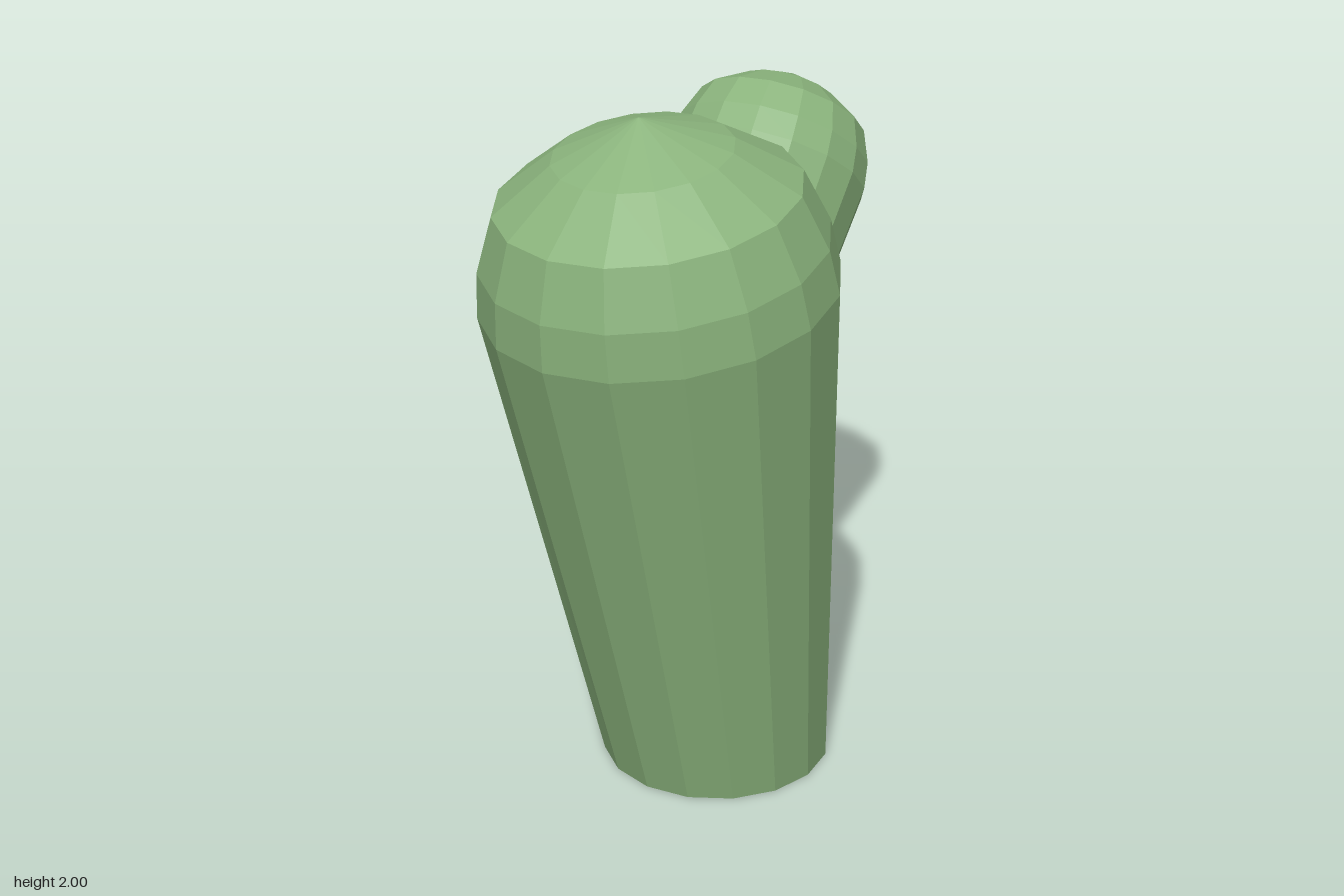
import * as THREE from 'three';

const SIDES = 16;
const LENGTH = 1.523; // base to shoulder

// Tapered limb with a domed end, growing along +y from the origin
function limbGeometry() {
  const profile = [
    [0, 0], [0.333, 0], [0.49, LENGTH], [0.473, LENGTH + 0.13],
    [0.413, LENGTH + 0.285], [0.243, LENGTH + 0.405], [0, LENGTH + 0.502],
  ].map(([r, y]) => new THREE.Vector2(r, y));
  return new THREE.LatheGeometry(profile, SIDES);
}

export function createModel() {
  const model = new THREE.Group();
  model.name = 'cactus';
  const green = new THREE.MeshStandardMaterial({ color: 0x8ab37c, flatShading: true });

  // Leaning trunk, its base cut level with the ground
  const trunkGeometry = limbGeometry();
  trunkGeometry.rotateZ(Math.atan2(0.245, 1.505));
  trunkGeometry.translate(-0.102, 0, 0.04);
  const p = trunkGeometry.attributes.position;
  for (let i = 0; i < p.count; i++) {
    if (p.getY(i) < 0.2) p.setY(i, 0);
  }
  trunkGeometry.computeVertexNormals();
  const trunk = new THREE.Mesh(trunkGeometry, green);
  trunk.name = 'trunk';
  model.add(trunk);

  // Smaller side arm, rooted inside the trunk
  const arm = new THREE.Mesh(limbGeometry(), green);
  arm.name = 'arm';
  const root = new THREE.Vector3(-0.07, 0.845, -0.106);
  const shoulder = new THREE.Vector3(0.515, 1.56, -0.235);
  const axis = shoulder.clone().sub(root);
  const scale = 0.612;
  arm.scale.set(scale, axis.length() / LENGTH, scale);
  arm.position.copy(root);
  arm.quaternion.setFromUnitVectors(new THREE.Vector3(0, 1, 0), axis.normalize());
  model.add(arm);

  return model;
}
